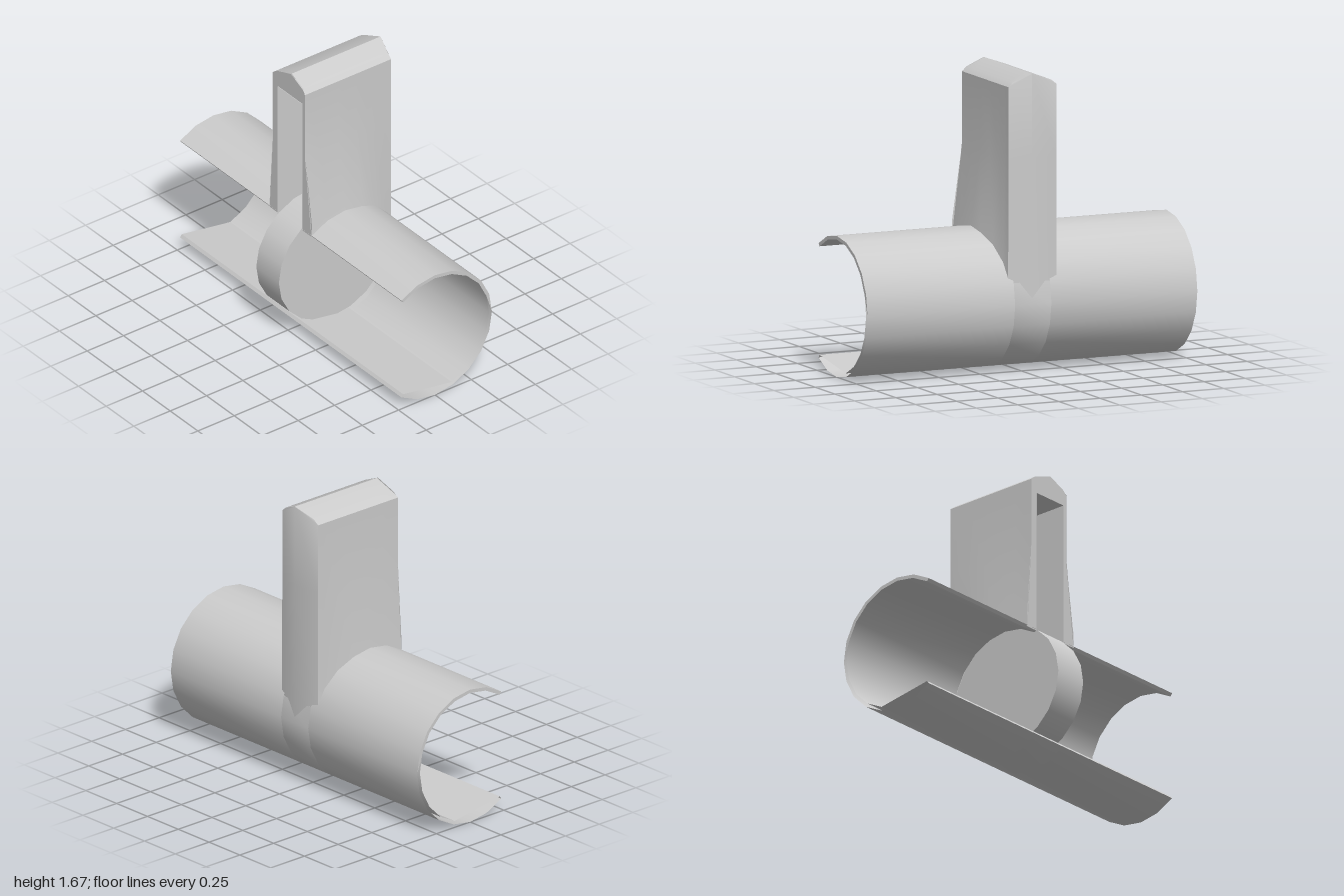
import * as THREE from 'three';
import { toCreasedNormals } from 'three/addons/utils/BufferGeometryUtils.js';

const R = 0.392, RI = 0.372, CY = 0.392;   // pipe radii and axis height
const FRONT = 0.233;                       // plane of the cutaway
const material = new THREE.MeshStandardMaterial({ color: 0xcccccc, side: THREE.DoubleSide });

function add(group, name, geometry) {
  const mesh = new THREE.Mesh(geometry, material);
  mesh.name = name;
  group.add(mesh);
  return mesh;
}

// Surface through rows of [x, y, z] points
function loft(rows, crease = 0.5) {
  const n = rows[0].length, index = [];
  for (let i = 0; i < rows.length - 1; i++)
    for (let j = 0; j < n - 1; j++) {
      const a = i * n + j, b = a + n;
      index.push(a, b, a + 1, b, b + 1, a + 1);
    }
  const g = new THREE.BufferGeometry();
  g.setAttribute('position', new THREE.Float32BufferAttribute(rows.flat(2), 3));
  g.setIndex(index);
  return toCreasedNormals(g, crease);
}

// Point on the pipe; the angle runs from the top towards the back
function onPipe(x, deg, r) {
  const a = THREE.MathUtils.degToRad(deg);
  return [x, CY + r * Math.cos(a), -r * Math.sin(a)];
}

const pipeTop = (z, r) => CY + Math.sqrt(Math.max(0, r * r - z * z));

function pipeSection(x0, x1, start) {
  const group = new THREE.Group();
  group.name = 'pipeSection';
  const angles = [];
  for (let a = start; a <= 216; a += 18) angles.push(a);
  // the inner floor is one flat facet
  const inner = angles.filter(a => a !== 180 && a !== 198);
  const strip = (list, r) => loft([x0, x1].map(x => list.map(a => onPipe(x, a, r))));
  add(group, 'outerWall', strip(angles, R));
  add(group, 'innerWall', strip(inner, RI));
  for (const a of [start, 216])
    add(group, 'cutEdge', loft([R, RI].map(r => [onPipe(x0, a, r), onPipe(x1, a, r)])));
  // upper end rims
  for (const x of [x0, x1].filter(x => Math.abs(x) === 1)) {
    const upper = angles.filter(a => a <= 90);
    add(group, 'endRim', loft([R, RI].map(r => upper.map(a => onPipe(x, a, a === 90 ? R : r)))));
  }
  return group;
}

function housing() {
  const group = new THREE.Group();
  group.name = 'housing';
  const stations = [FRONT, 0.12, 0, -0.12, -0.23, -0.315, -0.36];

  // Outer skin: flared foot fitted to the pipe, straight sides, pitched roof
  const levels = [
    { y: null, flare: 1, w: 1 }, { y: 1.2, flare: 0, w: 1 }, { y: 1.6, flare: 0, w: 1 },
    { y: 1.625, flare: 0, w: 0.8 }, { y: 1.67, flare: 0, w: 0 },
  ];
  const rows = levels.map(({ y, flare, w }) => {
    const side = (z, s) => {
      const spread = flare * THREE.MathUtils.clamp((z + 0.37) / 0.25, 0, 1);
      const x = s > 0 ? 0.13 + 0.06 * spread : -0.16 - 0.03 * spread;
      const zz = z === FRONT && y > 1.6 ? z - 0.01 : z;
      return [x * w, y ?? pipeTop(z, R) - 0.008, zz];
    };
    const back = [0, y === null ? 0.4 : y >= 1.6 ? 1.67 : y, -0.387];
    return [...stations.map(z => side(z, 1)), back, ...[...stations].reverse().map(z => side(z, -1))];
  });
  add(group, 'housingSkin', loft(rows, 0.7));

  // Front frame around the opening
  const frame = new THREE.Shape([
    [0.19, 0.7], [0.19, 0.785], [0.13, 1.2], [0.13, 1.6], [0.104, 1.625], [0, 1.67],
    [-0.128, 1.625], [-0.16, 1.6], [-0.16, 1.2], [-0.19, 0.785], [-0.19, 0.7],
    [-0.115, 0.7], [-0.115, 1.53], [0.105, 1.53], [0.105, 0.7],
  ].map(p => new THREE.Vector2(...p)));
  add(group, 'frontFrame', new THREE.ShapeGeometry(frame)).position.z = FRONT - 0.003;

  // Chamber walls inside the housing
  const depth = [FRONT, 0.12, 0, -0.12, -0.23, -0.31, -0.355];
  for (const x of [-0.115, 0.105])
    add(group, 'chamberSide', loft([
      depth.map(z => [x, pipeTop(z, RI), z]), depth.map(z => [x, 1.53, z]),
    ]));
  const across = (y, z) => [[-0.115, y, z], [0.105, y, z]];
  add(group, 'chamberBack', loft([across(pipeTop(-0.355, RI), -0.355), across(1.53, -0.355)]));
  add(group, 'chamberCeiling', loft([across(1.53, -0.355), across(1.53, FRONT)]));
  return group;
}

function gate() {
  const group = new THREE.Group();
  group.name = 'gate';
  // Round gate plate lying across the pipe
  const disc = new THREE.CylinderGeometry(0.37, 0.37, 0.204, 20);
  disc.rotateZ(Math.PI / 2).scale(1, 0.98, 1.02);
  add(group, 'gateDisc', disc).position.set(-0.006, 0.412, 0.008);
  // Collar and stem
  add(group, 'stemCollar', new THREE.CylinderGeometry(0.083, 0.083, 0.12, 12)).position.set(-0.006, 0.8, 0.005);
  add(group, 'stem', new THREE.CylinderGeometry(0.05, 0.05, 0.68, 8)).position.set(-0.006, 1.19, 0.005);
  return group;
}

export function createModel() {
  const model = new THREE.Group();
  model.name = 'cutawayGateValve';
  const pipe = new THREE.Group();
  pipe.name = 'pipe';
  // the middle section is open at the top for the gate
  pipe.add(pipeSection(-1, -0.115, -36), pipeSection(-0.115, 0.105, 72), pipeSection(0.105, 1, -36));
  model.add(pipe, housing(), gate());
  return model;
}
